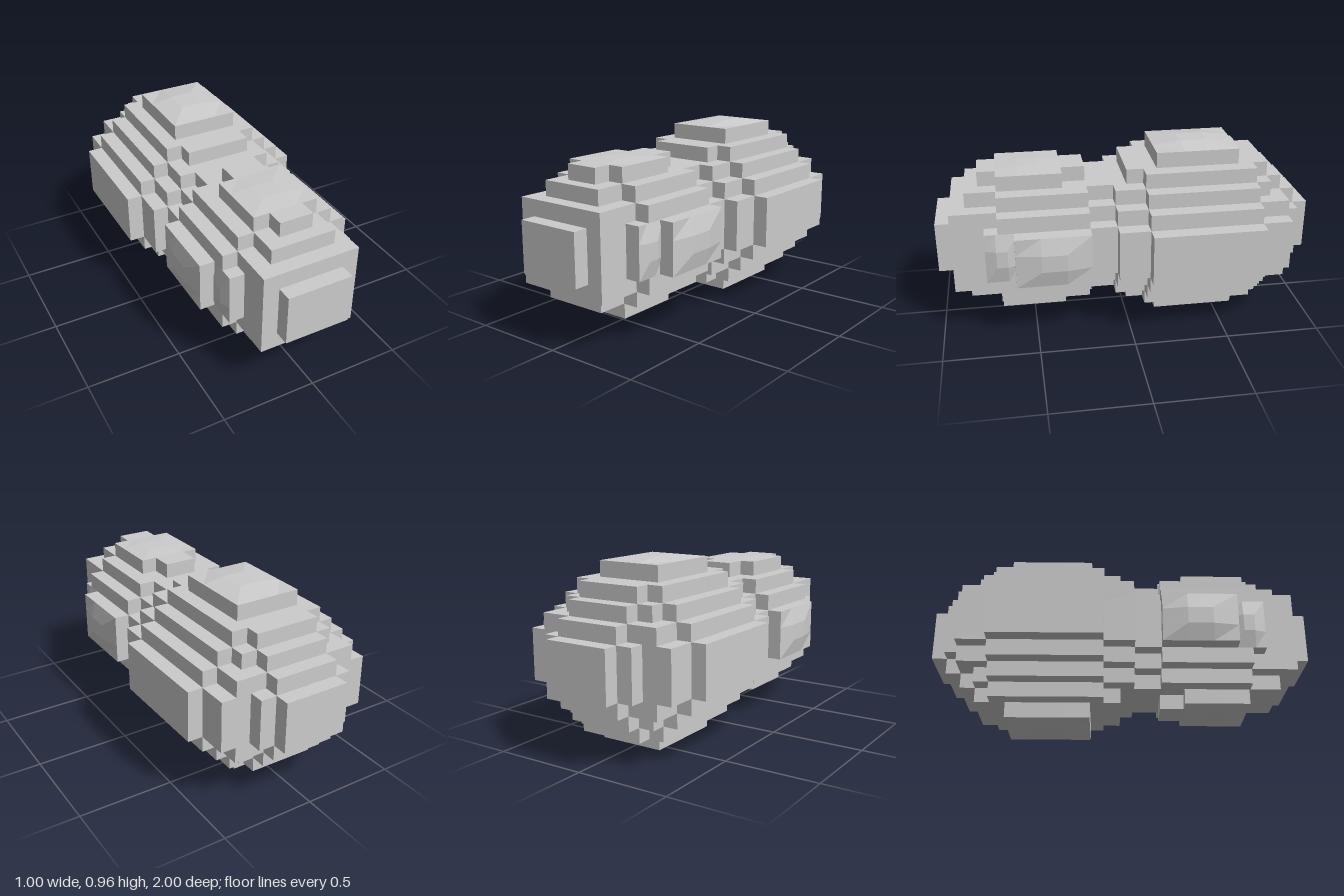
import * as THREE from 'three';

const CY = 0.4825; // height of the long axis

export function createModel() {
  const group = new THREE.Group();
  const material = new THREE.MeshStandardMaterial({ color: 0xcccccc, flatShading: true });

  function add(name, geometry, x, y, z) {
    const mesh = new THREE.Mesh(geometry, material);
    mesh.name = name;
    mesh.position.set(x, CY + y, z);
    group.add(mesh);
  }

  // Bars centred on the long axis: [half width, half height, back z, front z]
  function bars(name, list) {
    list.forEach(([hx, hy, z0, z1], i) =>
      add(name + (i + 1), new THREE.BoxGeometry(hx * 2, hy * 2, z1 - z0), 0, 0, (z0 + z1) / 2));
  }

  // Block whose outer face along one axis swells by a small amount in the middle
  function pad(name, size, pos, axis, sign, bulge) {
    const geo = new THREE.BoxGeometry(...size, 3, 3, 3);
    const p = geo.attributes.position;
    for (let i = 0; i < p.count; i++) {
      const v = [p.getX(i), p.getY(i), p.getZ(i)];
      const inner = v.every((c, a) => a === axis
        ? c * sign > size[a] / 2 - 1e-4
        : Math.abs(c) < size[a] / 2 - 1e-4);
      if (inner) v[axis] += sign * bulge;
      p.setXYZ(i, ...v);
    }
    geo.computeVertexNormals();
    add(name, geo, ...pos);
  }

  // Large rear lobe
  bars('rearLobe', [
    [0.50, 0.135, -0.68, -0.09],
    [0.42, 0.22, -0.68, -0.09],
    [0.34, 0.30, -0.68, -0.09],
    [0.26, 0.38, -0.68, -0.09],
    [0.175, 0.38, -0.76, 0.00],
    [0.42, 0.135, -0.84, 0.07],
    [0.34, 0.22, -0.84, 0.07],
    [0.26, 0.30, -0.76, 0.07],
    [0.175, 0.30, -0.84, 0.07],
    [0.26, 0.135, -0.92, 0.07],
    [0.175, 0.22, -0.92, 0.07],
    [0.175, 0.135, -1.00, 0.07],
  ]);

  // Narrow waist joining the lobes
  bars('waist', [
    [0.34, 0.135, 0, 0.25],
    [0.26, 0.22, 0, 0.25],
    [0.175, 0.30, 0, 0.25],
  ]);

  // Smaller front lobe
  bars('frontLobe', [
    [0.34, 0.22, 0.21, 0.68],
    [0.26, 0.30, 0.21, 0.68],
    [0.175, 0.30, 0.21, 0.84],
    [0.26, 0.22, 0.21, 0.92],
    [0.175, 0.135, 0.21, 1.00],
    [0.09, 0.38, 0.21, 0.40],
  ]);
  add('topNub', new THREE.BoxGeometry(0.18, 0.1, 0.17), 0, 0.33, 0.685);

  // Swollen plates on top and bottom
  for (const s of [1, -1]) {
    const side = s > 0 ? 'top' : 'bottom';
    pad(side + 'RearPad', [0.355, 0.1, 0.44], [0, s * 0.4125, -0.38], 1, s, 0.02);
    pad(side + 'FrontPad', [0.35, 0.1, 0.34], [0, s * 0.33, 0.505], 1, s, s > 0 ? 0.008 : 0.017);
  }

  // Swollen plates on the left and right of the front lobe
  for (const s of [1, -1]) {
    const side = s > 0 ? 'left' : 'right';
    pad(side + 'CheekPad', [0.1, 0.27, 0.39], [s * 0.37, 0, 0.405], 0, s, 0.022);
    pad(side + 'CheekStep', [0.1, 0.27, 0.17], [s * 0.29, 0, 0.665], 0, s, 0.02);
  }

  return group;
}
